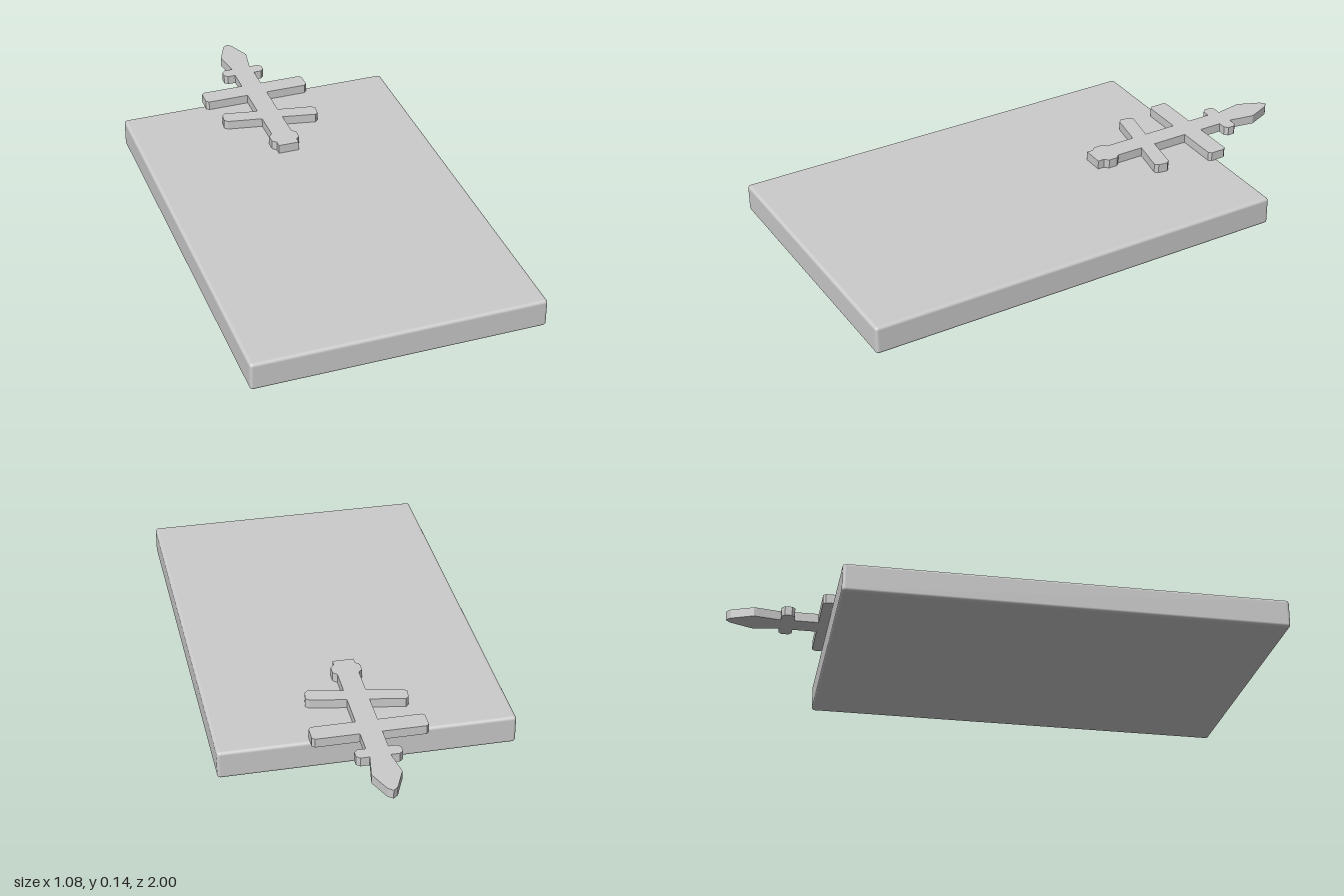
import * as THREE from 'three';
import { RoundedBoxGeometry } from 'three/addons/geometries/RoundedBoxGeometry.js';

export function createModel() {
  const group = new THREE.Group();
  const material = new THREE.MeshStandardMaterial({ color: 0xcccccc });

  // Flat slab with softly rounded edges
  const slab = new THREE.Mesh(new RoundedBoxGeometry(1.08, 0.108, 1.625, 3, 0.012), material);
  slab.name = 'slab';
  slab.position.set(0, 0.056, 0.1875);
  group.add(slab);

  // Right half of the cross outline, from the pointed tip down, as [x, -z]
  const upper = [
    [0.018, 0.985], [0.054, 0.9], [0.037, 0.8],                                        // spear tip
    [0.07, 0.8], [0.083, 0.788], [0.083, 0.762], [0.07, 0.75], [0.04, 0.75],           // collar
    [0.04, 0.66], [0.2, 0.66], [0.21, 0.65], [0.21, 0.595], [0.2, 0.585], [0.04, 0.585], // main bar
  ];
  const slanted = [
    [0.04, 0.445], [0.172, 0.421], [0.185, 0.408], [0.18, 0.372], [0.168, 0.36], [0.04, 0.385],
  ];
  const lower = [[0.04, 0.28], [0.055, 0.265], [0.055, 0.23], [0.04, 0.215], [0.04, 0.19]];

  // Mirror the straight parts; the slanted bar is turned half round its middle
  const mirror = (points) => points.map(([x, y]) => [-x, y]).reverse();
  const turned = slanted.map(([x, y]) => [-x, 0.842 - y]);
  const outline = [
    [0, 1], ...upper, ...slanted, ...lower,
    ...mirror(lower), ...turned, ...mirror(upper),
  ].map(([x, y]) => new THREE.Vector2(x, y));

  const crossGeometry = new THREE.ExtrudeGeometry(new THREE.Shape(outline), {
    depth: 0.035, bevelEnabled: false,
  });
  crossGeometry.rotateX(-Math.PI / 2);
  const cross = new THREE.Mesh(crossGeometry, material);
  cross.name = 'barredCross';
  cross.position.y = 0.112;
  group.add(cross);

  // Stand the slab exactly on the ground
  slab.position.y = 0.054;
  cross.position.y = 0.11;
  return group;
}
